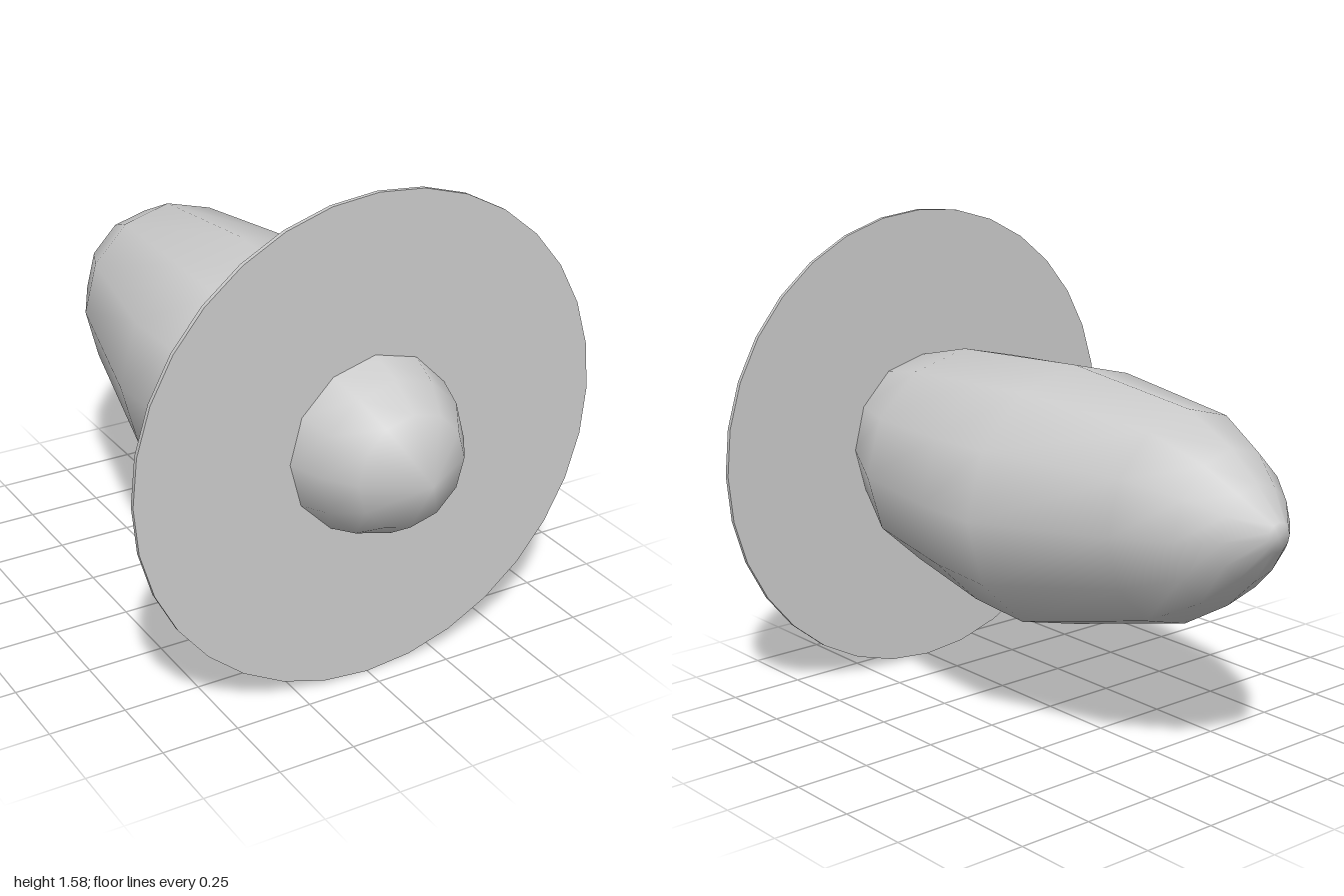
import * as THREE from 'three';

const SIDES = 12;

// Closed hull lofted through elliptical rings [z, centreY, radiusX, radiusY], front to back
function loft(rings, front, back) {
  const pos = [];
  const index = [];
  for (const [z, cy, rx, ry] of rings) {
    for (let j = 0; j < SIDES; j++) {
      const a = (j / SIDES) * Math.PI * 2;
      pos.push(rx * Math.sin(a), cy + ry * Math.cos(a), z);
    }
  }
  const tip = pos.length / 3;
  pos.push(...front, ...back);
  const last = (rings.length - 1) * SIDES;
  for (let j = 0; j < SIDES; j++) {
    const k = (j + 1) % SIDES;
    index.push(tip, k, j);
    for (let i = 0; i < last; i += SIDES) {
      index.push(i + j, i + k, i + SIDES + j, i + k, i + SIDES + k, i + SIDES + j);
    }
    index.push(last + j, last + k, tip + 1);
  }
  const geo = new THREE.BufferGeometry();
  geo.setAttribute('position', new THREE.Float32BufferAttribute(pos, 3));
  geo.setIndex(index);
  geo.computeVertexNormals();
  return geo;
}

export function createModel() {
  const group = new THREE.Group();
  const material = new THREE.MeshStandardMaterial({ color: 0xcccccc });

  // Streamlined body with a pointed nose and a blunt, narrow tail
  const body = new THREE.Mesh(loft([
    [0.89, 0.797, 0.182, 0.182],
    [0.79, 0.798, 0.25, 0.25],
    [0.675, 0.798, 0.287, 0.289],
    [0.435, 0.775, 0.41, 0.37],
    [0.12, 0.752, 0.428, 0.413],
    [-0.12, 0.752, 0.438, 0.428],
    [-0.625, 0.795, 0.32, 0.335],
    [-0.805, 0.805, 0.228, 0.24],
    [-0.91, 0.812, 0.145, 0.147],
    [-1, 0.82, 0.045, 0.045],
  ], [0, 0.8, 1], [0, 0.82, -1]), material);
  body.name = 'body';
  group.add(body);

  // Thin propeller disc around the nose
  const discGeo = new THREE.CylinderGeometry(0.791, 0.791, 0.014, 32);
  discGeo.rotateX(Math.PI / 2);
  const disc = new THREE.Mesh(discGeo, material);
  disc.name = 'propellerDisc';
  disc.position.set(0, 0.793, 0.675);
  group.add(disc);

  return group;
}
